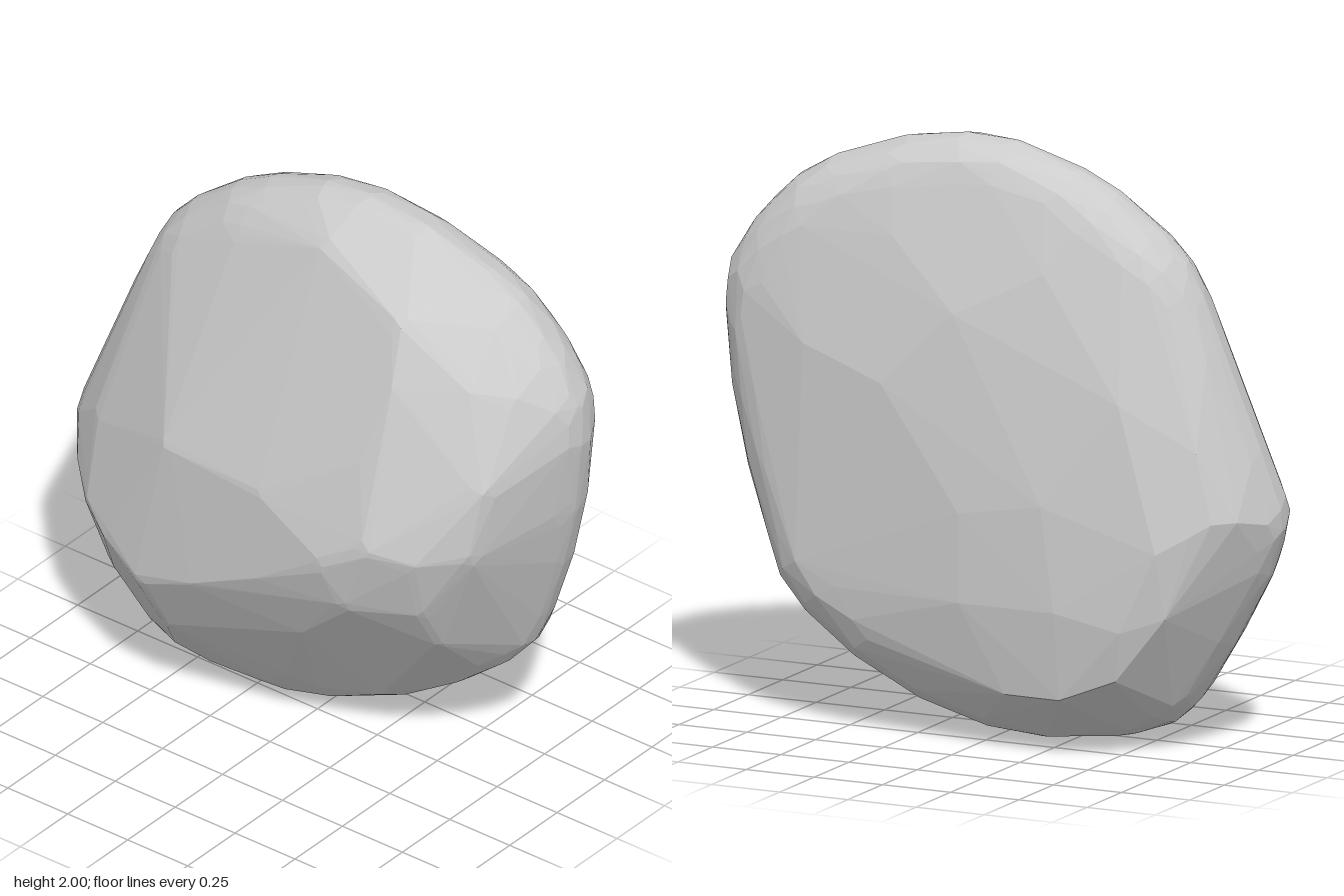
import * as THREE from 'three';
import { ConvexGeometry } from 'three/addons/geometries/ConvexGeometry.js';

// Evenly spread points on a small ball; the hull of many balls has softly worn edges
function addBall(points, centre, radius, count) {
  for (let i = 0; i < count; i++) {
    const y = 1 - (2 * i + 1) / count;
    const ring = Math.sqrt(1 - y * y);
    const a = i * 2.39996 + centre.x * 5;
    points.push(new THREE.Vector3(Math.cos(a) * ring, y, Math.sin(a) * ring).multiplyScalar(radius).add(centre));
  }
}

// Outline of the stone, counter-clockwise from the top: x, y
const rim = [
  [0.12, 2.0], [-0.05, 1.985], [-0.28, 1.91], [-0.41, 1.845], [-0.58, 1.72], [-0.66, 1.635], [-0.72, 1.53],
  [-0.8, 1.34], [-0.92, 1.03], [-0.975, 0.85], [-0.985, 0.76], [-0.93, 0.6], [-0.8, 0.36],
  [-0.68, 0.17], [-0.59, 0.08], [-0.43, 0.025], [-0.17, 0], [0.03, 0.025], [0.27, 0.105],
  [0.5, 0.235], [0.65, 0.355], [0.75, 0.47], [0.805, 0.6], [0.885, 0.83], [0.95, 1.08], [0.985, 1.35],
  [0.97, 1.5], [0.9, 1.63], [0.83, 1.715], [0.73, 1.81], [0.6, 1.885], [0.35, 1.97],
];

// Corners of the broad front facets: x, y, z
const front = [
  [-0.45, 0.52, 0.39], [-0.2, 0.62, 0.425], [0.1, 0.78, 0.445], [0.38, 0.94, 0.455], [0.55, 1.05, 0.425],
  [-0.35, 1.07, 0.37], [0.1, 1.08, 0.425], [-0.62, 0.6, 0.345], [-0.75, 0.65, 0.275], [-0.88, 0.7, 0.15],
  [-0.78, 0.93, 0.19], [0.48, 1.35, 0.335], [0.54, 1.6, 0.24], [0.5, 1.8, 0.15], [0.1, 1.92, 0.04],
  [-0.3, 1.81, 0.02], [-0.55, 1.62, 0.02], [-0.72, 1.32, 0.06], [-0.42, 0.3, 0.275], [-0.47, 0.13, 0.1],
  [-0.05, 0.18, 0.12], [0.2, 0.55, 0.33], [0.44, 0.8, 0.41], [0.67, 0.8, 0.29], [0.65, 0.6, 0.16],
  [0.69, 1.02, 0.355], [0.82, 1.05, 0.24], [0.86, 1.3, 0.19], [0.74, 1.62, 0.11], [0.86, 1.58, 0.02],
  [-0.87, 0.57, 0.11], [-0.72, 0.38, 0.18], [-0.82, 0.46, 0.08], [-0.58, 0.17, 0.12],
];

// Corners of the flatter back facets
const back = [
  [-0.35, 0.5, -0.455], [0, 0.5, -0.455], [0, 0.8, -0.455], [-0.3, 0.85, -0.45], [0.3, 1.2, -0.425],
  [0.05, 1.45, -0.395], [0.6, 1.3, -0.395], [0.3, 1.68, -0.34], [-0.35, 0.2, -0.415], [-0.15, 0.2, -0.41],
  [-0.55, 0.28, -0.4], [-0.58, 0.45, -0.43], [-0.7, 0.72, -0.41], [-0.8, 0.78, -0.36], [-0.72, 0.5, -0.38],
  [-0.86, 0.82, -0.32], [-0.92, 0.82, -0.25], [-0.8, 1.05, -0.31], [-0.55, 1.2, -0.38], [-0.25, 1.6, -0.33],
  [0.4, 0.6, -0.4], [0.7, 0.95, -0.37], [0.75, 1.5, -0.32], [0.82, 0.95, -0.335], [0.68, 0.62, -0.35],
  [0.45, 0.38, -0.36], [0.88, 1.3, -0.33],
];

export function createModel() {
  const points = [];

  // Rounded rim: a ball set inside the outline at each point, fuller at the sides and foot;
  // its mid-line leans back on the lower left-hand side and forward on the lower other side
  rim.forEach(([x, y], i) => {
    const prev = rim[(i + rim.length - 1) % rim.length];
    const next = rim[(i + 1) % rim.length];
    const inward = new THREE.Vector3(prev[1] - next[1], next[0] - prev[0], 0).normalize();
    const foot = THREE.MathUtils.clamp(1.2 - y, 0, 1);
    const z = -0.12 - 0.03 * x - 0.1 * x * foot;
    const edge = new THREE.Vector3(x, y, z);
    const radius = 0.15 + 0.08 * Math.max(Math.abs(x) * 0.7, foot);
    points.push(edge);
    addBall(points, edge.clone().addScaledVector(inward, radius), radius, 90);
  });

  // Front corners, each worn round by a ball that touches the corner from inside
  const core = new THREE.Vector3(0, 0.95, -0.1);
  for (const p of front) {
    const corner = new THREE.Vector3(...p);
    const inward = core.clone().sub(corner).multiply(new THREE.Vector3(0.5, 0.5, 1)).normalize();
    points.push(corner);
    addBall(points, corner.clone().addScaledVector(inward, 0.08), 0.08, 40);
  }

  // Back corners stay crisp
  for (const p of back) points.push(new THREE.Vector3(...p));

  const stone = new THREE.Mesh(
    new ConvexGeometry(points),
    new THREE.MeshStandardMaterial({ color: 0xcccccc, flatShading: true })
  );
  stone.name = 'stone';

  const group = new THREE.Group();
  group.name = 'rock';
  group.add(stone);
  return group;
}
